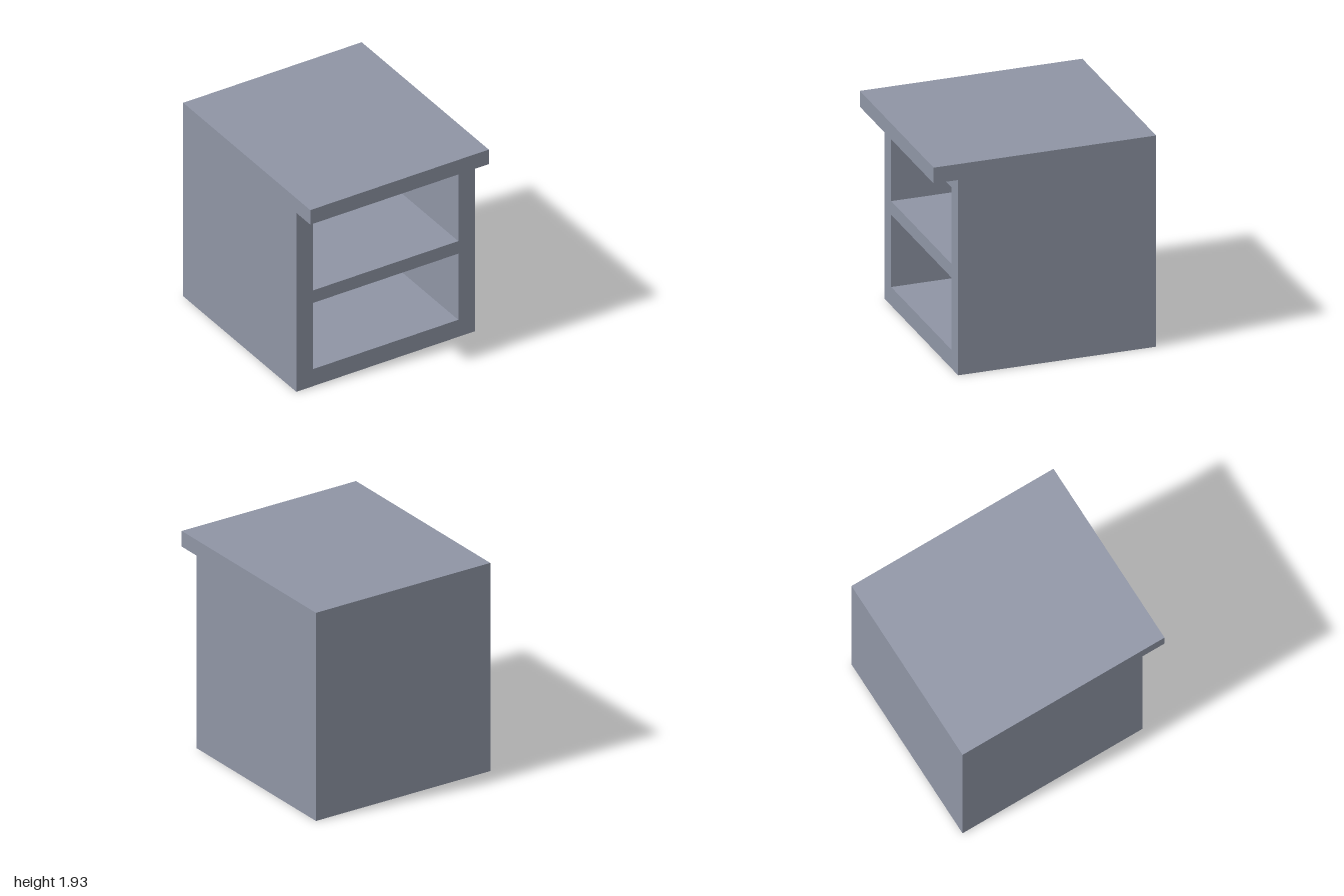
import * as THREE from 'three';

const HALF_W = 0.89, BODY_H = 1.785, TOP_H = 1.93;
const BACK_Z = -1, FRONT_Z = 0.78, LIP_Z = 1, WALL = 0.165;

export function createModel() {
  const group = new THREE.Group();
  group.name = 'bedsideCabinet';
  const slate = new THREE.MeshStandardMaterial({ color: 0x8f95a5 });
  slate.name = 'slateGrey';

  const add = (name, geometry) => {
    const mesh = new THREE.Mesh(geometry, slate);
    mesh.name = name;
    group.add(mesh);
  };
  const slab = (name, y0, y1, z0, z1) => {
    const g = new THREE.BoxGeometry(2 * HALF_W, y1 - y0, z1 - z0);
    g.translate(0, (y0 + y1) / 2, (z0 + z1) / 2);
    add(name, g);
  };
  const trace = (path, w, y0, y1) => {
    path.moveTo(-w, y0);
    path.lineTo(w, y0);
    path.lineTo(w, y1);
    path.lineTo(-w, y1);
    path.closePath();
    return path;
  };

  // Carcass: sides, floor, shelf and top rail around two open compartments
  const outline = trace(new THREE.Shape(), HALF_W, 0, BODY_H);
  for (const [y0, y1] of [[0.17, 0.83], [0.955, 1.655]]) {
    outline.holes.push(trace(new THREE.Path(), HALF_W - WALL, y0, y1));
  }
  const depth = FRONT_Z - BACK_Z - WALL;
  const carcass = new THREE.ExtrudeGeometry(outline, { depth, bevelEnabled: false });
  carcass.translate(0, 0, BACK_Z + WALL);
  add('carcass', carcass);

  // Closed back and overhanging top
  slab('backPanel', 0, BODY_H, BACK_Z, BACK_Z + WALL);
  slab('top', BODY_H, TOP_H, BACK_Z, LIP_Z);

  return group;
}
